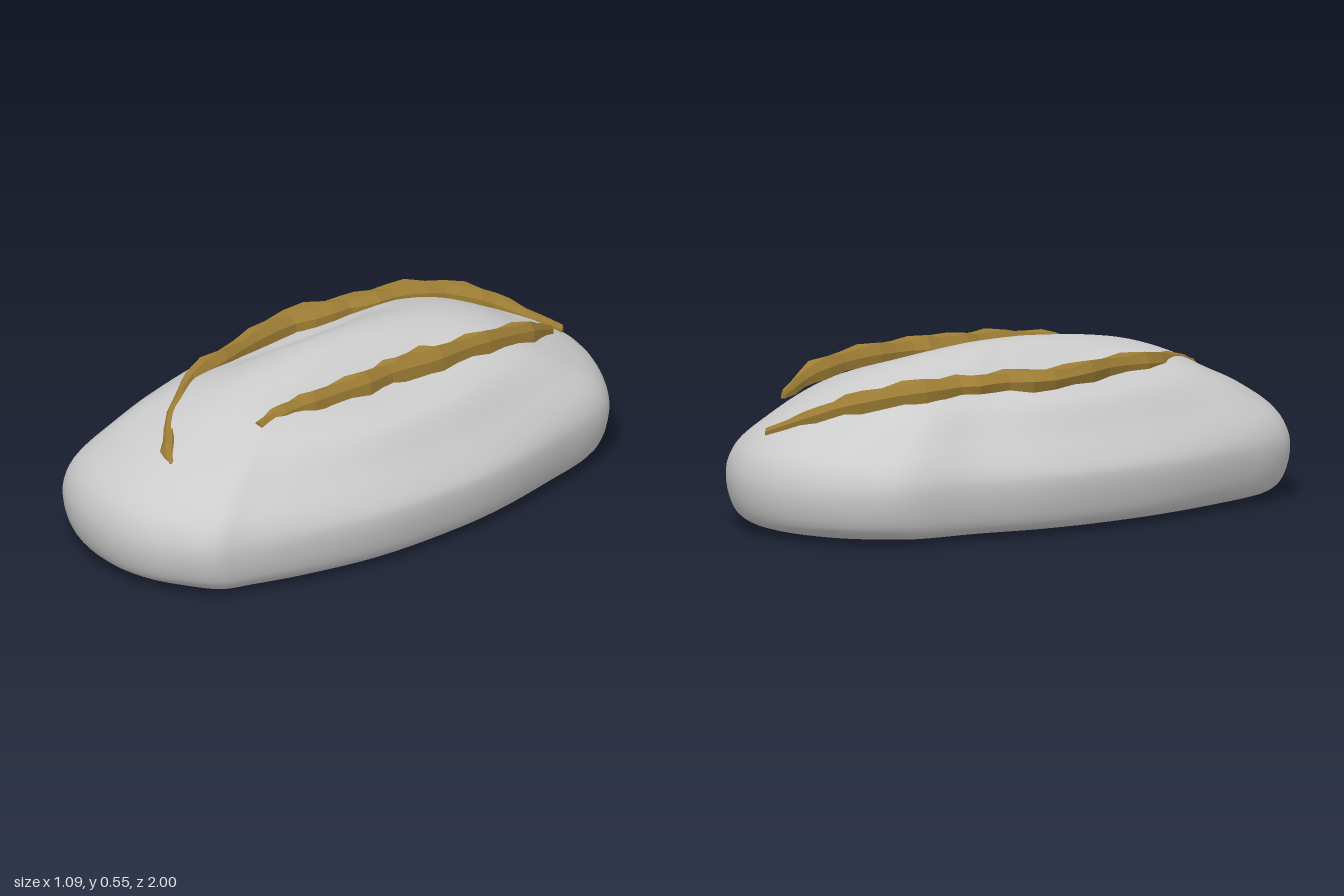
import * as THREE from 'three';
import { mergeVertices } from 'three/addons/utils/BufferGeometryUtils.js';

const grey = new THREE.MeshStandardMaterial({ color: 0xcccccc });
const gold = new THREE.MeshStandardMaterial({ color: 0x9c7c34, flatShading: true, side: THREE.DoubleSide });

// Skin a list of closed rings (all the same length) into one surface
function skin(rings, closeEnds) {
  const n = rings[0].length, pos = [], idx = [];
  rings.forEach(r => r.forEach(p => pos.push(p.x, p.y, p.z)));
  for (let j = 0; j < rings.length - 1; j++) {
    for (let i = 0; i < n; i++) {
      const a = j * n + i, b = j * n + (i + 1) % n;
      idx.push(a, b, b + n, a, b + n, a + n);
    }
  }
  if (closeEnds) {
    const last = (rings.length - 1) * n;
    for (let i = 1; i < n - 1; i++) idx.push(0, i + 1, i, last, last + i, last + i + 1);
  }
  const g = new THREE.BufferGeometry();
  g.setAttribute('position', new THREE.Float32BufferAttribute(pos, 3));
  g.setIndex(idx);
  return g;
}

// Plan outline of the loaf at its widest level: [x, z]
const OUTLINE = [
  [0, 1], [0.14, 0.985], [0.25, 0.94], [0.36, 0.87], [0.40, 0.77], [0.46, 0.6], [0.53, 0.3],
  [0.545, 0], [0.53, -0.25], [0.47, -0.55], [0.40, -0.8], [0.3, -0.9], [0.14, -0.98],
  [0, -1], [-0.14, -0.98], [-0.28, -0.92], [-0.36, -0.85], [-0.44, -0.74], [-0.475, -0.5],
  [-0.53, -0.25], [-0.548, 0], [-0.53, 0.3], [-0.46, 0.62], [-0.41, 0.78], [-0.355, 0.87], [-0.2, 0.96],
];

// Levels from bottom centre to top centre: [scale, height at the sides, height at the ends]
const LEVELS = [
  [0, 0.004, 0.004], [0.5, 0.008, 0.01], [0.85, 0.017, 0.018], [0.93, 0.034, 0.027], [0.975, 0.085, 0.06],
  [1, 0.19, 0.17], [0.965, 0.235, 0.27], [0.85, 0.32, 0.355], [0.73, 0.41, 0.41], [0.62, 0.44, 0.465],
  [0.5, 0.453, 0.505], [0.37, 0.465, 0.53], [0.24, 0.512, 0.545], [0.1, 0.55, 0.555], [0, 0.557, 0.557],
];

function loafGeometry() {
  const outline = new THREE.CatmullRomCurve3(OUTLINE.map(([x, z]) => new THREE.Vector3(x, 0, z)), true);
  const around = 104, steps = (LEVELS.length - 1) * 4;
  const ribs = [];
  for (let i = 0; i < around; i++) {
    const o = outline.getPoint(i / around);
    const ux = (o.x / 0.545) ** 2, w = ux / (ux + o.z ** 2);
    const rib = new THREE.CatmullRomCurve3(LEVELS.map(([s, side, end]) =>
      new THREE.Vector3(o.x * s, side * w + end * (1 - w), o.z * s)));
    ribs.push(rib.getPoints(steps));
  }
  const rings = [];
  for (let j = 0; j <= steps; j++) rings.push(ribs.map(r => r[j]));
  const g = mergeVertices(skin(rings, false), 1e-5);
  g.computeVertexNormals();
  return g;
}

// Ragged crust strip along a path of [x, y, z, halfWidth, halfHeight]
function crustGeometry(path, steps, phase) {
  const centre = new THREE.CatmullRomCurve3(path.map(p => new THREE.Vector3(p[0], p[1], p[2])));
  const size = new THREE.CatmullRomCurve3(path.map(p => new THREE.Vector3(p[3], p[4], 0)));
  const section = [[-1, -0.7], [-0.95, 0.25], [-0.35, 0.95], [0.4, 0.9], [0.95, 0.1], [0.8, -0.8]];
  const rings = [];
  for (let k = 0; k <= steps; k++) {
    const t = k / steps, c = centre.getPoint(t), d = centre.getTangent(t), s = size.getPoint(t);
    const across = new THREE.Vector3(d.z, 0, -d.x).normalize();
    rings.push(section.map(([u, v], i) => {
      const wobble = 1 + 0.17 * Math.sin(k * 2.1 + phase + (i > 2 ? 2 : 0));
      return c.clone().addScaledVector(across, u * s.x * wobble).add(new THREE.Vector3(0, v * s.y * wobble, 0));
    }));
  }
  return skin(rings.reverse(), true).toNonIndexed();
}

const LONG_CRUST = [
  [0.09, 0.362, 0.8, 0.012, 0.01], [0.03, 0.385, 0.76, 0.025, 0.025], [-0.07, 0.415, 0.66, 0.03, 0.03],
  [-0.22, 0.463, 0.43, 0.03, 0.04], [-0.265, 0.478, 0.2, 0.03, 0.035], [-0.325, 0.475, -0.05, 0.045, 0.035],
  [-0.29, 0.478, -0.25, 0.045, 0.035], [-0.265, 0.475, -0.4, 0.045, 0.035], [-0.225, 0.462, -0.57, 0.04, 0.04],
  [-0.13, 0.43, -0.72, 0.04, 0.035], [-0.04, 0.39, -0.8, 0.03, 0.025], [0.085, 0.332, -0.9, 0.012, 0.012],
];
const SHORT_CRUST = [
  [0.19, 0.465, 0.52, 0.016, 0.016], [0.18, 0.475, 0.41, 0.025, 0.028], [0.205, 0.49, 0.3, 0.025, 0.035],
  [0.235, 0.505, 0.1, 0.032, 0.038], [0.23, 0.505, -0.05, 0.034, 0.04], [0.25, 0.505, -0.2, 0.034, 0.04],
  [0.255, 0.5, -0.4, 0.028, 0.038], [0.245, 0.47, -0.6, 0.026, 0.036], [0.205, 0.42, -0.74, 0.008, 0.015],
];

export function createModel() {
  const group = new THREE.Group();
  group.name = 'breadLoaf';
  const add = (name, geometry, material) => {
    if (!geometry.attributes.normal) geometry.computeVertexNormals();
    const mesh = new THREE.Mesh(geometry, material);
    mesh.name = name;
    group.add(mesh);
  };
  add('loaf', loafGeometry(), grey);
  add('rightCrustRidge', crustGeometry(LONG_CRUST, 30, 0), gold);
  add('leftCrustRidge', crustGeometry(SHORT_CRUST, 24, 1.3), gold);
  return group;
}
